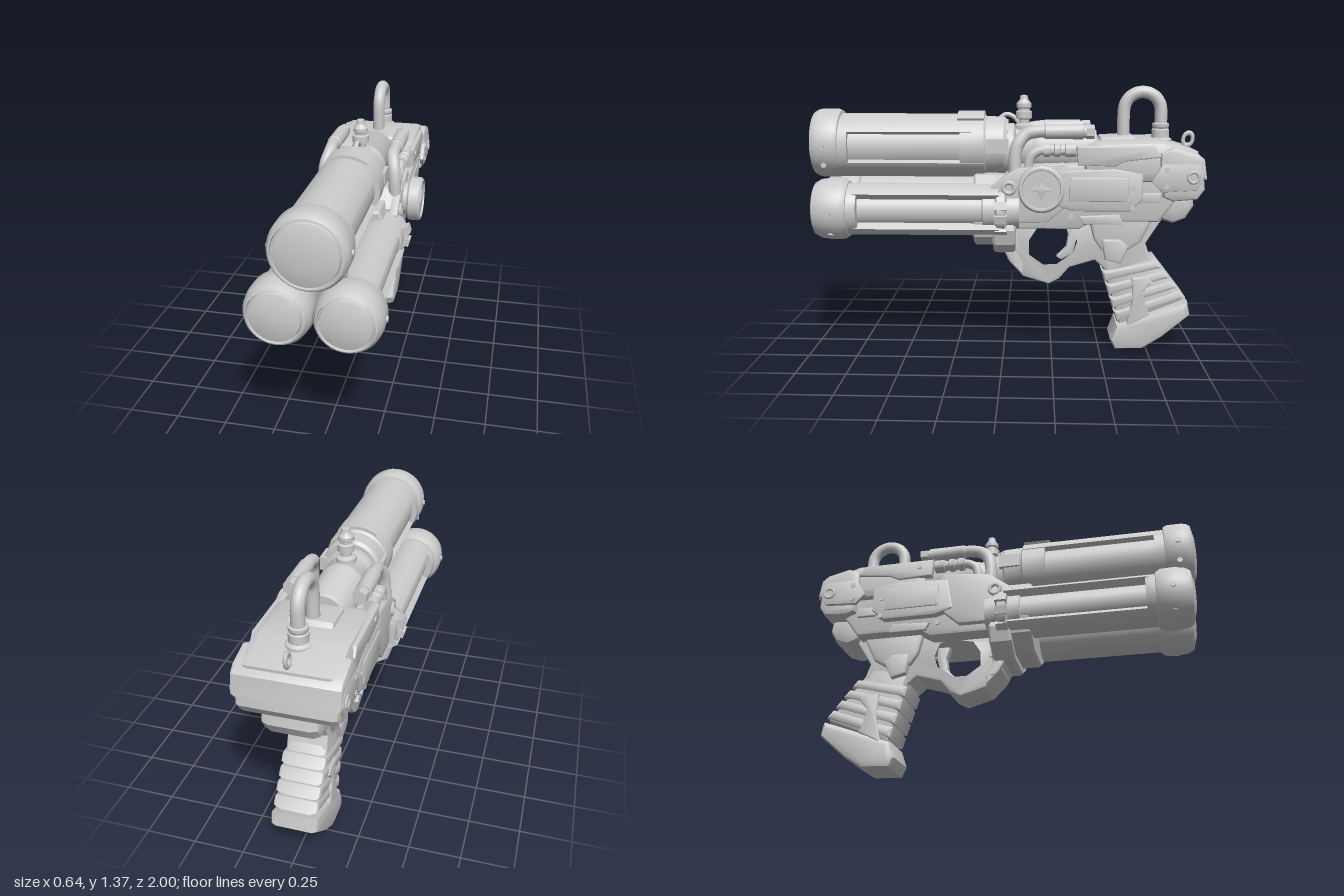
import * as THREE from 'three';
import { toCreasedNormals } from 'three/addons/utils/BufferGeometryUtils.js';

const grey = new THREE.MeshStandardMaterial({ color: 0xcccccc });
const V = (x, y, z) => new THREE.Vector3(x, y, z);

export function createModel() {
  const root = new THREE.Group();

  const add = (name, geometry, x = 0, y = 0, z = 0) => {
    const mesh = new THREE.Mesh(geometry, grey);
    mesh.name = name;
    mesh.position.set(x, y, z);
    root.add(mesh);
    return mesh;
  };
  const poly = (pts, Kind = THREE.Shape) => new Kind(pts.map(p => new THREE.Vector2(p[0], p[1])));

  // Side outline of [z, y] points, given thickness across x with chamfered edges
  const side = (name, pts, half, bevel = 0.015, x = 0, hole = null) => {
    const shape = poly(pts);
    if (hole) shape.holes.push(poly(hole, THREE.Path));
    const depth = 2 * (half - bevel);
    const g = new THREE.ExtrudeGeometry(shape, {
      depth, bevelEnabled: true, bevelThickness: bevel, bevelSize: bevel, bevelOffset: -bevel, bevelSegments: 2,
    });
    g.translate(0, 0, -depth / 2).rotateY(-Math.PI / 2);
    return add(name, toCreasedNormals(g, 0.5), x);
  };
  const rect = (z0, z1, y0, y1) => [[z0, y0], [z1, y0], [z1, y1], [z0, y1]];
  // Turned part along z from [radius, z] points, back to front
  const turned = (name, pts, x, y, z = 0, seg = 40) => {
    const g = new THREE.LatheGeometry(pts.map(p => new THREE.Vector2(p[0], p[1])), seg).rotateX(Math.PI / 2);
    return add(name, toCreasedNormals(g, 0.6), x, y, z);
  };
  const upright = (name, pts, x, y, z, seg = 20) =>
    add(name, toCreasedNormals(new THREE.LatheGeometry(pts.map(p => new THREE.Vector2(p[0], p[1])), seg), 0.6), x, y, z);
  const bolt = (name, r, len, x, y, z, seg = 12) =>
    add(name, new THREE.CylinderGeometry(r, r, len, seg).rotateZ(Math.PI / 2), x, y, z);
  const tube = (name, pts, r) =>
    add(name, new THREE.TubeGeometry(new THREE.CatmullRomCurve3(pts, false, 'centripetal'), 40, r, 14));
  // Barrel jacket: arc of a ring between two angles
  const jacket = (name, r0, r1, a, b, z0, z1, x, y) => {
    const s = new THREE.Shape();
    s.absarc(0, 0, r1, a, b, false);
    s.absarc(0, 0, r0, b, a, true);
    const g = new THREE.ExtrudeGeometry(s, { depth: z1 - z0, bevelEnabled: false, curveSegments: 32 });
    add(name, toCreasedNormals(g, 0.5), x, y, z0);
  };

  // Top barrel with a long window on each side
  const TY = 1.075, BY = 1.065, PI = Math.PI, w = 0.5;
  turned('topBarrelCore', [[0, -0.02], [0.135, -0.02], [0.135, 0.88], [0, 0.88]], 0, BY);
  for (const a of [0, PI]) jacket('topBarrelJacket', 0.12, 0.163, a + w, a + PI - w, 0.1, 0.86, 0, BY);
  turned('topBarrelRearBand', [[0.13, -0.02], [0.148, 0], [0.15, 0.09], [0.16, 0.1], [0.16, 0.22], [0.13, 0.22]], 0, BY);
  turned('topBarrelFrontBand', [[0.13, 0.79], [0.163, 0.79], [0.163, 0.86], [0.13, 0.86]], 0, BY);
  jacket('topBarrelSaddle', 0.15, 0.177, 0.95, PI - 0.95, 0.1, 0.235, 0, BY);
  turned('topCap', [[0.15, 0.835], [0.168, 0.84], [0.177, 0.86], [0.177, 0.935], [0.172, 0.96], [0.16, 0.978],
    [0.152, 0.98], [0.15, 0.968], [0.145, 0.968], [0.141, 0.982], [0.1, 0.994], [0.05, 0.999], [0, 1]], 0, TY);
  for (const s of [-1, 1]) for (const a of [-0.6, 0])
    bolt('topCapBolt', 0.014, 0.016, s * 0.177 * Math.cos(a), TY + 0.177 * Math.sin(a), 0.91);

  // Twin lower barrels, each with an outer window
  const LX = 0.155, LY = 0.755, v = 0.72;
  for (const s of [-1, 1]) {
    turned('lowerBarrelCore', [[0, 0], [0.09, 0], [0.09, 0.82], [0, 0.82]], s * LX, LY);
    const a = s > 0 ? 0 : PI;
    jacket('lowerBarrelJacket', 0.08, 0.132, a + v, a + 2 * PI - v, 0.02, 0.8, s * LX, LY);
    turned('lowerBarrelFrontBand', [[0.08, 0.73], [0.125, 0.73], [0.132, 0.75], [0.132, 0.81], [0.09, 0.81]], s * LX, LY);
    turned('lowerBarrelRearBand', [[0, -0.08], [0.095, -0.08], [0.095, -0.02], [0.12, -0.01], [0.12, 0.03],
      [0.1, 0.04], [0.1, 0.1], [0.08, 0.11]], s * LX, LY);
    turned('lowerCap', [[0.12, 0.775], [0.14, 0.78], [0.155, 0.805], [0.157, 0.87], [0.15, 0.92], [0.135, 0.948],
      [0.127, 0.952], [0.124, 0.94], [0.119, 0.94], [0.115, 0.953], [0.07, 0.966], [0, 0.97]], s * LX, LY);
    for (const b of [-0.85, 0]) {
      const c = bolt('lowerCapBolt', 0.015, 0.016, s * (LX + 0.155 * Math.cos(b)), LY + 0.155 * Math.sin(b), 0.86);
      c.rotation.z = s * b;
    }
    // Clamp lugs around the rear flange
    for (const b of [-0.9, -0.25, 0.3]) {
      const lug = add('flangeLug', new THREE.BoxGeometry(0.035, 0.04, 0.06),
        s * (LX + 0.115 * Math.cos(b)), LY + 0.12 * Math.sin(b), 0.01);
      lug.rotation.z = s * b;
    }
  }

  // Chin housing beneath the barrels, stepping up towards the front
  for (const [z, depth, lift] of [[-0.05, 0.09, 0], [0.04, 0.1, 0.04]]) {
    const outline = [[-0.22, 0.66], [-0.2, 0.59], [-0.1, 0.53], [0.1, 0.53], [0.2, 0.59], [0.22, 0.66], [0.14, 0.92], [-0.14, 0.92]];
    add('chinHousing', new THREE.ExtrudeGeometry(poly(outline.map(([x, y]) => [x, Math.min(0.92, y + lift)])),
      { depth, bevelEnabled: true, bevelSize: 0.01, bevelThickness: 0.012, bevelSegments: 1 }), 0, 0, z);
  }

  // Receiver tube behind the top barrel
  turned('receiverTube', [[0, -0.47], [0.1, -0.47], [0.112, -0.45], [0.112, -0.2], [0.118, -0.19], [0.118, -0.16],
    [0.112, -0.15], [0.112, -0.06], [0.135, -0.05], [0.135, 0.03], [0, 0.03]], 0, 1.045);

  // Body core and upper housing
  side('bodyCore', [[0.03, 0.9], [-0.06, 0.98], [-0.86, 1.0], [-0.88, 0.84], [-0.78, 0.7], [-0.45, 0.7],
    [-0.38, 0.66], [0, 0.66], [0.03, 0.7]], 0.19, 0.02);
  side('upperHousing', [[-0.4, 1.0], [-0.4, 1.07], [-0.47, 1.1], [-0.78, 1.11], [-0.96, 1.055], [-0.96, 0.9], [-0.4, 0.9]], 0.225, 0.045);
  side('topCover', [[-0.47, 1.08], [-0.49, 1.115], [-0.65, 1.125], [-0.7, 1.08]], 0.11, 0.015);
  // Rear block in two layers, with a rounded bowl beneath
  side('rearBlock', [[-0.77, 0.92], [-0.77, 1.05], [-0.83, 1.08], [-0.95, 1.05], [-0.985, 1.02], [-1, 0.92]], 0.245, 0.02);
  side('rearBlockLower', [[-0.79, 0.83], [-0.79, 0.95], [-0.985, 0.95], [-0.995, 0.87], [-0.96, 0.82], [-0.84, 0.81]], 0.23, 0.025);
  side('rearBowl', [[-0.77, 0.86], [-0.95, 0.86], [-0.965, 0.77], [-0.925, 0.705], [-0.86, 0.68], [-0.8, 0.7], [-0.76, 0.76]], 0.14, 0.045);

  // Side panels, mirrored
  for (const s of [-1, 1]) {
    side('frontCheek', [[0.06, 0.88], [-0.06, 0.97], [-0.3, 1.0], [-0.36, 0.93], [-0.3, 0.77], [-0.22, 0.7],
      [-0.03, 0.7], [0.04, 0.78]], 0.022, 0.01, s * 0.2);
    side('upperRail', [[-0.37, 0.99], [-0.36, 1.085], [-0.74, 1.085], [-0.78, 1.03], [-0.6, 1.01], [-0.55, 0.985]], 0.02, 0.008, s * 0.217);
    side('middlePanel', [[-0.25, 0.79], [-0.28, 0.96], [-0.55, 0.975], [-0.69, 0.95], [-0.69, 0.82], [-0.63, 0.76], [-0.35, 0.76]], 0.025, 0.012, s * 0.205);
    side('middleInset', rect(-0.62, -0.33, 0.81, 0.93), 0.012, 0.006, s * 0.224);
    side('lowerStrip', [[-0.4, 0.69], [-0.38, 0.73], [-0.58, 0.74], [-0.6, 0.69]], 0.02, 0.006, s * 0.185);
    side('rearCheek', [[-0.73, 0.91], [-0.78, 1.0], [-0.96, 1.0], [-0.985, 0.94], [-0.95, 0.87], [-0.78, 0.86]], 0.012, 0.006, s * 0.236);
    side('rearVent', rect(-0.78, -0.68, 0.8, 0.85), 0.02, 0.006, s * 0.185);
    add('rearPin', new THREE.TorusGeometry(0.026, 0.009, 8, 20).rotateY(PI / 2), s * 0.247, 0.935, -0.93);
    bolt('rearPinCore', 0.02, 0.02, s * 0.24, 0.935, -0.93);
    add('frontPivot', new THREE.TorusGeometry(0.027, 0.011, 8, 20).rotateY(PI / 2), s * 0.223, 0.875, -0.03);
    for (const [z, y, x] of [[-0.64, 0.88, 0.222], [-0.64, 0.78, 0.222], [-0.8, 0.89, 0.24], [-0.8, 0.97, 0.24], [-0.44, 1.045, 0.23],
      [-0.07, 0.56, 0.103], [-0.07, 0.46, 0.103], [-0.34, 0.73, 0.185]])
      bolt('panelBolt', 0.014, 0.026, s * x, y, z, 8);

    // Pipe runs alongside the receiver
    const px = s * 0.165;
    tube('gasPipe', [V(px, 1.15, -0.42), V(px, 1.15, -0.17), V(px, 1.135, -0.115), V(px * 1.08, 1.09, -0.075), V(px * 1.12, 1.03, -0.06), V(px * 1.15, 0.93, -0.06)], 0.032);
    turned('gasCylinder', [[0, -0.4], [0.038, -0.395], [0.038, -0.21], [0.03, -0.2], [0, -0.2]], px, 1.15, 0, 16);
    turned('gasPipeNut', [[0, -0.45], [0.036, -0.45], [0.036, -0.41], [0, -0.41]], px, 1.15, 0, 6);
    turned('hoseSleeve', [[0, -0.36], [0.034, -0.36], [0.034, -0.31], [0.026, -0.305], [0.026, -0.285], [0.034, -0.28],
      [0.034, -0.255], [0.026, -0.25], [0.026, -0.235], [0.034, -0.23], [0.034, -0.2], [0, -0.2]], s * 0.193, 1.06, 0, 14);
    tube('hoseElbow', [V(s * 0.193, 1.06, -0.36), V(s * 0.193, 1.06, -0.19), V(s * 0.193, 1.03, -0.14), V(s * 0.193, 0.95, -0.12)], 0.024);
    add('barrelBracket', new THREE.BoxGeometry(0.05, 0.07, 0.11), s * 0.135, 1.075, 0.03);
  }

  // Dial on the left side with a four-pointed inset
  bolt('dialHub', 0.085, 0.1, 0.235, 0.88, -0.19, 32);
  const dial = upright('dial', [[0, 0], [0.105, 0], [0.115, 0.01], [0.115, 0.06], [0.105, 0.07], [0.095, 0.07],
    [0.092, 0.062], [0, 0.062]], 0.245, 0.88, -0.19, 36);
  dial.rotation.z = -PI / 2;
  side('dialPointer', Array.from({ length: 8 }, (_, i) => {
    const r = i % 2 ? 0.02 : 0.055, a = i * PI / 4;
    return [-0.19 + r * Math.cos(a), 0.88 + r * Math.sin(a)];
  }), 0.006, 0.003, 0.307);

  // Trigger guard, neck and trigger
  side('triggerFrame', [[0.02, 0.72], [0, 0.62], [-0.02, 0.48], [-0.1, 0.39], [-0.235, 0.35], [-0.29, 0.38], [-0.34, 0.44],
    [-0.47, 0.48], [-0.56, 0.4], [-0.76, 0.48], [-0.73, 0.57], [-0.83, 0.73], [-0.8, 0.8], [0, 0.8]], 0.1, 0.016, 0,
  [[-0.16, 0.66], [-0.115, 0.59], [-0.115, 0.5], [-0.2, 0.44], [-0.28, 0.445], [-0.37, 0.51], [-0.395, 0.58], [-0.36, 0.67], [-0.27, 0.685]]);
  side('guardTrim', [[-0.005, 0.64], [0.01, 0.55], [-0.03, 0.47], [-0.1, 0.4], [-0.1, 0.46], [-0.07, 0.52], [-0.07, 0.62]], 0.108, 0.01);
  side('neckShoulder', [[-0.43, 0.72], [-0.46, 0.6], [-0.5, 0.54], [-0.62, 0.53], [-0.7, 0.58], [-0.77, 0.72]], 0.125, 0.02);
  side('neckPanel', [[-0.5, 0.6], [-0.52, 0.49], [-0.6, 0.47], [-0.64, 0.56], [-0.6, 0.6]], 0.132, 0.012);
  side('trigger', [[-0.3, 0.7], [-0.335, 0.6], [-0.325, 0.53], [-0.275, 0.48], [-0.3, 0.465], [-0.36, 0.5], [-0.385, 0.6], [-0.38, 0.7]], 0.028, 0.006);

  // Grip, ribs and foot
  const front = t => [-0.495 - 0.11 * t, 0.49 - 0.36 * t];
  const back = t => [-0.735 - 0.205 * t, 0.535 - 0.265 * t];
  side('gripCore', [front(-0.1), front(0.5), front(1), back(1), back(0.5), back(-0.1)], 0.1, 0.03);
  for (let i = 0; i < 4; i++) {
    const t0 = 0.18 + i * 0.2, t1 = t0 + 0.165;
    const f0 = front(t0), f1 = front(t1), b0 = back(t0), b1 = back(t1);
    side('gripRib', [[f0[0] + 0.008, f0[1]], [f1[0] + 0.008, f1[1]], [b1[0] - 0.016, b1[1]], [b0[0] - 0.016, b0[1]]], 0.108, 0.02);
  }
  side('gripStrap', [[-0.66, 0.39], [-0.74, 0.4], [-0.77, 0.37], [-0.72, 0.31], [-0.76, 0.19], [-0.64, 0.13], [-0.67, 0.28]], 0.114, 0.01);
  side('gripFoot', [[-0.56, 0.05], [-0.585, 0], [-0.73, 0.005], [-0.83, 0.07], [-0.97, 0.19], [-0.955, 0.265], [-0.59, 0.135]], 0.117, 0.028);

  // Hoop pipe on the housing, with collars
  const hoop = [V(0, 1.08, -0.61)];
  for (let i = 0; i <= 10; i++) hoop.push(V(0, 1.245 + 0.094 * Math.sin(i * PI / 10), -0.704 + 0.094 * Math.cos(i * PI / 10)));
  hoop.push(V(0, 1.08, -0.798));
  tube('hoopPipe', hoop, 0.032);
  upright('hoopCollar', [[0, 1.07], [0.06, 1.07], [0.06, 1.1], [0.045, 1.11], [0.045, 1.15], [0.038, 1.155], [0.044, 1.165], [0.044, 1.18], [0.03, 1.185]], 0, 0, -0.798);

  // Rear eyelet, long and leaning back
  const eyelet = add('eyelet', new THREE.TorusGeometry(0.024, 0.01, 8, 20).scale(1, 1.35, 1).rotateY(PI / 2), 0, 1.1, -0.94);
  eyelet.rotation.x = -0.25;
  upright('eyeletStem', [[0, 1.03], [0.018, 1.03], [0.012, 1.075], [0, 1.075]], 0, 0, -0.925, 10);

  // Valve on the receiver tube
  upright('valve', [[0, 1.13], [0.05, 1.13], [0.05, 1.17], [0.028, 1.18], [0.028, 1.2], [0.042, 1.205], [0.042, 1.24],
    [0.03, 1.245], [0.03, 1.255], [0.038, 1.26], [0.038, 1.28], [0.022, 1.3], [0.02, 1.32], [0, 1.325]], 0, 0, -0.1, 16);
  tube('valveLever', [V(0, 1.2, 0.03), V(0, 1.225, -0.01), V(0, 1.21, -0.05), V(0, 1.17, -0.08)], 0.012);

  return root;
}
